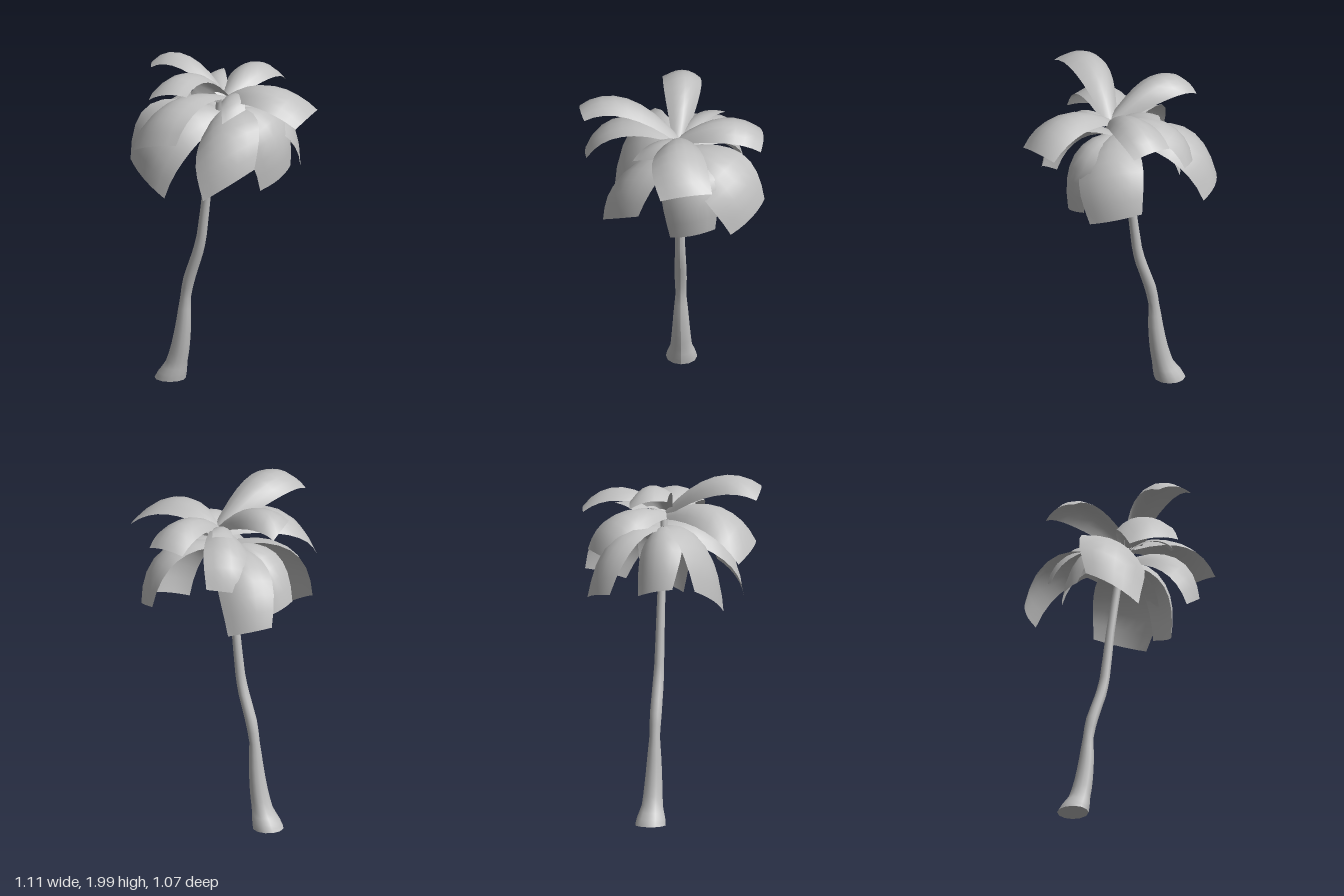
import * as THREE from 'three';

const V = (a) => new THREE.Vector3(...a);

// Grid surface from a rule (u, v) -> point
function surface(nu, nv, rule) {
  const pos = [], idx = [];
  for (let i = 0; i <= nu; i++)
    for (let j = 0; j <= nv; j++) pos.push(...rule(i / nu, j / nv).toArray());
  for (let i = 0; i < nu; i++)
    for (let j = 0; j < nv; j++) {
      const a = i * (nv + 1) + j, b = a + nv + 1;
      idx.push(a, a + 1, b, a + 1, b + 1, b);
    }
  const g = new THREE.BufferGeometry();
  g.setAttribute('position', new THREE.Float32BufferAttribute(pos, 3));
  g.setIndex(idx);
  g.computeVertexNormals();
  return g;
}

// Broad drooping sheet: narrow at the root, bulging midway, arched across, cut square at the tip
function leafGeometry(root, mid, tipA, tipB, arch, bulge) {
  const tip = tipA.clone().add(tipB).multiplyScalar(0.5);
  const half = tipB.clone().sub(tipA).multiplyScalar(0.5);
  const ctrl = mid.clone().multiplyScalar(2).addScaledVector(root, -0.5).addScaledVector(tip, -0.5);
  const curve = new THREE.QuadraticBezierCurve3(root, ctrl, tip);
  const outward = tip.clone().sub(root).setY(0).normalize().add(new THREE.Vector3(0, 1, 0));
  return surface(8, 6, (t, v) => {
    const s = v * 2 - 1;
    const w = 0.35 + 0.65 * t + bulge * Math.sin(Math.PI * t);
    const n = curve.getTangent(t).cross(half).normalize();
    if (n.dot(outward) < 0) n.negate();
    return curve.getPoint(t)
      .addScaledVector(half, s * w)
      .addScaledVector(n, arch * (1 - s * s) * Math.sin(Math.PI * (0.1 + 0.75 * t)));
  });
}

export function createModel() {
  const tree = new THREE.Group();
  tree.name = 'palmTree';
  const grey = new THREE.MeshStandardMaterial({ color: 0xc0c0c0, side: THREE.DoubleSide });
  grey.name = 'lightGrey';
  const add = (name, geo, parent = tree) => {
    const m = new THREE.Mesh(geo, grey);
    m.name = name;
    parent.add(m);
    return m;
  };

  // Trunk rings: x, y, radius
  const rings = [
    [-0.36, 0, 0.09], [-0.345, 0.04, 0.083], [-0.315, 0.11, 0.062], [-0.288, 0.22, 0.053],
    [-0.268, 0.36, 0.043], [-0.256, 0.5, 0.031], [-0.228, 0.63, 0.035], [-0.175, 0.78, 0.033],
    [-0.145, 0.9, 0.029], [-0.107, 1.2, 0.025], [-0.05, 1.55, 0.022], [-0.02, 1.74, 0.02],
  ];
  const path = new THREE.CatmullRomCurve3(rings.map(([x, y]) => new THREE.Vector3(x, y, -0.042)));
  const last = rings.length - 1;
  add('trunk', surface(last * 2, 12, (t, v) => {
    const k = Math.min(last - 1, Math.floor(t * last)), f = t * last - k;
    const r = THREE.MathUtils.lerp(rings[k][2], rings[k + 1][2], f);
    const a = -v * Math.PI * 2;
    return path.getPoint(t).add(new THREE.Vector3(Math.cos(a) * r, 0, Math.sin(a) * r));
  }));
  const base = add('trunkBase', new THREE.CircleGeometry(0.09, 12).rotateX(Math.PI / 2));
  base.position.set(-0.36, 0, -0.042);

  // One tier of leaves sharing root, arch and bulge; each leaf: name, middle, two tip corners
  const addTier = (name, root, arch, bulge, leaves) => {
    const tier = new THREE.Group();
    tier.name = name;
    tree.add(tier);
    for (const [leaf, mid, a, b] of leaves)
      add(leaf, leafGeometry(V(root), V(mid), V(a), V(b), arch, bulge), tier);
  };
  const high = [0.02, 1.74, -0.04], low = [-0.01, 1.65, -0.04];

  addTier('upperLeaves', high, 0.065, 0.32, [
    ['leftLeaf', [0.3, 1.8, -0.045], [0.51, 1.71, -0.25], [0.55, 1.68, 0.045]],
    ['backLeaf', [0.03, 1.825, -0.3], [-0.11, 1.76, -0.5], [0.13, 1.75, -0.515]],
    ['frontLeaf', [-0.03, 1.915, 0.27], [-0.14, 1.87, 0.53], [0.1, 1.92, 0.5]],
    ['rightLeaf', [-0.26, 1.89, -0.05], [-0.485, 1.85, -0.135], [-0.42, 1.89, 0.07]],
    ['middleFrontLeaf', [-0.1, 1.74, 0.27], [-0.29, 1.52, 0.46], [0.02, 1.61, 0.49]],
    ['middleBackRightLeaf', [-0.2, 1.71, -0.22], [-0.4, 1.51, -0.22], [-0.24, 1.57, -0.44]],
  ]);
  addTier('lowerLeaves', low, 0.065, 0.52, [
    ['backLeaf', [0.16, 1.61, -0.29], [0.09, 1.4, -0.535], [0.33, 1.31, -0.35]],
    ['backRightLeaf', [-0.31, 1.61, -0.21], [-0.56, 1.36, -0.235], [-0.38, 1.31, -0.41]],
    ['rightLeaf', [-0.25, 1.6, 0], [-0.42, 1.38, 0.1], [-0.39, 1.33, -0.11]],
    ['frontRightLeaf', [-0.22, 1.59, 0.17], [-0.45, 1.38, 0.24], [-0.155, 1.22, 0.34]],
    ['frontLeftLeaf', [0.16, 1.59, 0.17], [0.355, 1.44, 0.18], [0.14, 1.27, 0.39]],
    ['leftLeaf', [0.22, 1.58, -0.1], [0.28, 1.25, 0], [0.32, 1.34, -0.26]],
  ]);
  addTier('smallLeaves', high, 0.015, 0.15, [
    ['leftLeaf', [0.12, 1.79, 0.06], [0.23, 1.75, 0.08], [0.16, 1.69, 0.22]],
    ['rightLeaf', [-0.09, 1.81, -0.14], [-0.21, 1.8, -0.18], [-0.16, 1.83, -0.3]],
  ]);

  return tree;
}
